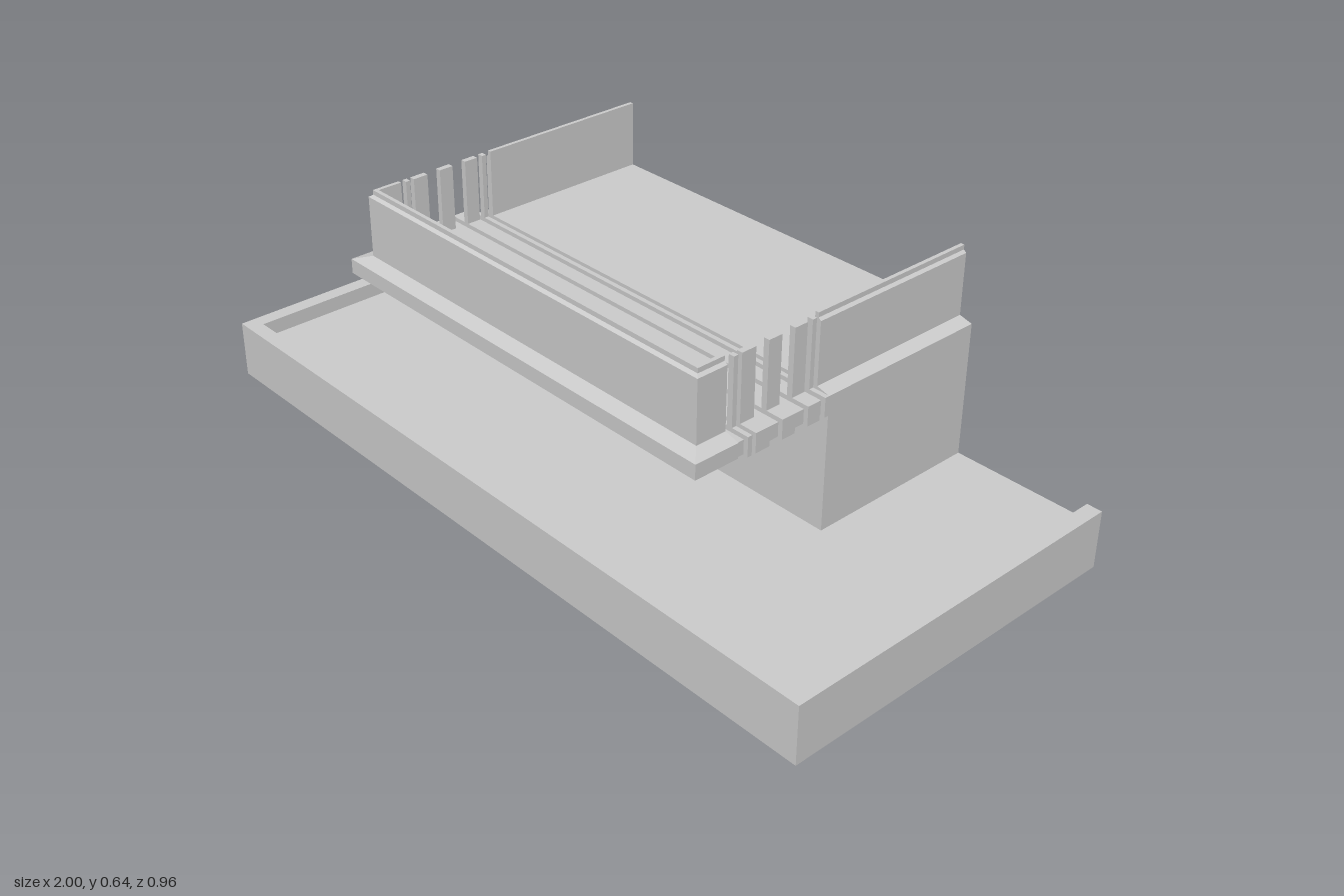
import * as THREE from 'three';

const material = new THREE.MeshStandardMaterial({ color: 0xcccccc, flatShading: true, side: THREE.DoubleSide });

export function createModel() {
  const model = new THREE.Group();
  const add = (name, geometry, x = 0, y = 0, z = 0) => {
    const mesh = new THREE.Mesh(geometry, material);
    mesh.name = name;
    mesh.position.set(x, y, z);
    model.add(mesh);
    return mesh;
  };
  const box = (name, x0, x1, y0, y1, z0, z1) =>
    add(name, new THREE.BoxGeometry(x1 - x0, y1 - y0, z1 - z0), (x0 + x1) / 2, (y0 + y1) / 2, (z0 + z1) / 2);
  const shapeOf = (pts) => new THREE.Shape(pts.map(([a, b]) => new THREE.Vector2(a, b)));

  // Symmetric section (right half given from bottom to centre) run along z
  const slice = (name, half, z0, z1) => {
    const mirrored = half.map(([x, y]) => [-x, y]).reverse();
    const shape = shapeOf([...half, ...mirrored]);
    return add(name, new THREE.ExtrudeGeometry(shape, { depth: z1 - z0, bevelEnabled: false }), 0, 0, z0);
  };

  // Section of [inset, height] points run round three sides with mitred corners
  const wrap = (name, profile, halfWidth, zFront, zBack) => {
    const path = (d) => [
      [-halfWidth + d, zBack], [-halfWidth + d, zFront - d],
      [halfWidth - d, zFront - d], [halfWidth - d, zBack]];
    const pos = [];
    for (let j = 0; j < profile.length - 1; j++) {
      const [d0, y0] = profile[j], [d1, y1] = profile[j + 1];
      const lower = path(d0), upper = path(d1);
      for (let i = 0; i < 3; i++) {
        const a = [lower[i][0], y0, lower[i][1]], b = [lower[i + 1][0], y0, lower[i + 1][1]];
        const c = [upper[i + 1][0], y1, upper[i + 1][1]], e = [upper[i][0], y1, upper[i][1]];
        pos.push(...a, ...b, ...c, ...a, ...c, ...e);
      }
    }
    const geometry = new THREE.BufferGeometry();
    geometry.setAttribute('position', new THREE.Float32BufferAttribute(pos, 3));
    geometry.computeVertexNormals();
    return add(name, geometry);
  };

  const back = -0.48, wallZ = -0.01;

  // Base: hollow tray with a raised rim, open at the back
  wrap('baseRim', [[0, 0], [0, 0.15], [0.04, 0.15], [0.04, 0.11]], 1, 0.48, back);
  add('baseBottom', new THREE.PlaneGeometry(2, 0.96).rotateX(Math.PI / 2));
  const floor = shapeOf([[-0.96, 0.48], [-0.96, -0.44], [0.96, -0.44], [0.96, 0.48],
    [0.6, 0.48], [0.6, 0.01], [-0.6, 0.01], [-0.6, 0.48]]);
  add('baseFloor', new THREE.ShapeGeometry(floor).rotateX(-Math.PI / 2), 0, 0.11, 0);

  // Building body: thin walls, open at the back
  const h = 0.346, midY = 0.11 + h / 2;
  add('bodyFrontWall', new THREE.PlaneGeometry(1.2, h), 0, midY, wallZ);
  for (const s of [-1, 1]) {
    add('bodySideWall', new THREE.PlaneGeometry(wallZ - back, h).rotateY(s * Math.PI / 2),
      s * 0.6, midY, (wallZ + back) / 2);
  }

  // Rear terrace deck with side parapets
  slice('rearTerrace', [[0.6, 0.456], [0.565, 0.465], [0.565, 0.622], [0.558, 0.628],
    [0.558, 0.64], [0.548, 0.64], [0.548, 0.466]], back, wallZ);

  // Projecting slab under the slatted section
  box('balconySlab', -0.6, 0.6, 0.42, 0.456, wallZ, 0.26);

  // Slats: cross bars with an upright at each end
  const slats = [[0.003, 0.015], [0.03, 0.067], [0.105, 0.143], [0.18, 0.22], [0.231, 0.243]];
  for (const [z0, z1] of slats) {
    slice('balconySlat', [[0.612, 0.418], [0.612, 0.467], [0.565, 0.467], [0.565, 0.635],
      [0.55, 0.635], [0.55, 0.467]], z0, z1);
  }

  // Front of the balcony: moulded ledge and parapet with short returns
  const section = [[0, 0.42], [0, 0.456], [0.038, 0.466], [0.038, 0.622], [0.046, 0.628],
    [0.046, 0.64], [0.056, 0.64], [0.056, 0.42]];
  wrap('balconyParapet', section, 0.602, 0.38, 0.26);
  for (const s of [-1, 1]) {
    const end = shapeOf(section.map(([d, y]) => [s * (0.602 - d), y]));
    add('parapetEnd', new THREE.ShapeGeometry(end).rotateY(Math.PI).scale(-1, 1, 1), 0, 0, 0.26);
  }
  box('balconyFloor', -0.546, 0.546, 0.42, 0.466, 0.26, 0.324);
  box('balconyUnderside', -0.602, 0.602, 0.418, 0.42, 0.26, 0.38);

  return model;
}
